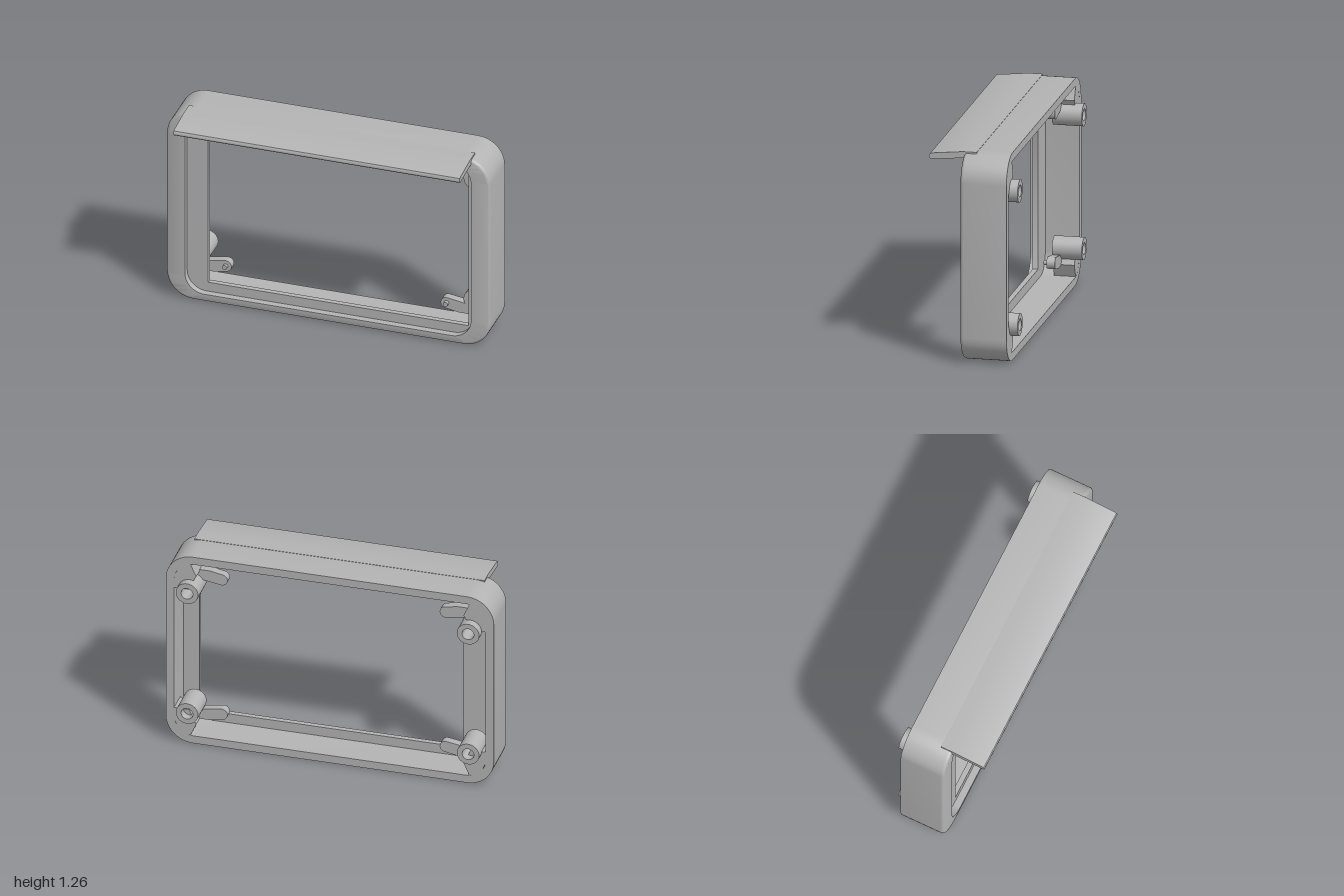
import * as THREE from 'three';
import { toCreasedNormals } from 'three/addons/utils/BufferGeometryUtils.js';

const HEIGHT = 1.262;

// Rounded rectangle as a counter-clockwise ring of points at depth z
function ring(x0, x1, y0, y1, r, z, steps = 12) {
  const pts = [];
  const corners = [[x1 - r, y0 + r], [x1 - r, y1 - r], [x0 + r, y1 - r], [x0 + r, y0 + r]];
  corners.forEach(([cx, cy], k) => {
    for (let i = 0; i <= steps; i++) {
      const a = (k - 1 + i / steps) * Math.PI / 2;
      pts.push([cx + r * Math.cos(a), cy + r * Math.sin(a), z]);
    }
  });
  return pts;
}

// Skin a closed sequence of rings
function loft(rings) {
  const n = rings[0].length, index = [];
  for (let i = 0; i < rings.length; i++) {
    const p = i * n, q = ((i + 1) % rings.length) * n;
    for (let j = 0; j < n; j++) {
      const k = (j + 1) % n;
      index.push(p + j, p + k, q + k, p + j, q + k, q + j);
    }
  }
  const g = new THREE.BufferGeometry();
  g.setAttribute('position', new THREE.Float32BufferAttribute(rings.flat(2), 3));
  g.setIndex(index);
  return toCreasedNormals(g.toNonIndexed(), 0.6);
}

function extrude(points, z0, z1) {
  const shape = new THREE.Shape(points.map(([x, y]) => new THREE.Vector2(x, y)));
  const g = new THREE.ExtrudeGeometry(shape, { depth: z1 - z0, bevelEnabled: false });
  g.translate(0, 0, z0);
  return toCreasedNormals(g, 0.6);
}

export function createModel() {
  const model = new THREE.Group();
  const grey = new THREE.MeshStandardMaterial({ color: 0xb4b4b4 });
  grey.name = 'greyPlastic';
  const add = (name, geometry, parent = model) => {
    const mesh = new THREE.Mesh(geometry, grey);
    mesh.name = name;
    parent.add(mesh);
    return mesh;
  };

  // Housing: outer wall, rounded front edge, recess, inner ledge and rear cavity
  const outer = (d, z) => ring(-1 + d, 1 - d, d, HEIGHT - d, 0.165 - d, z);
  const opening = z => ring(-0.885, 0.885, 0.05, 1.215, 0.12, z);
  const window_ = z => ring(-0.755, 0.855, 0.11, 1.165, 0.001, z);
  const cavity = z => ring(-0.95, 0.95, 0.05, 1.212, 0.12, z);
  const edge = [0, 1, 2, 3, 4].map(i => {
    const a = i / 4 * Math.PI / 2;
    return outer(0.02 * (1 - Math.cos(a)), 0.04 + 0.02 * Math.sin(a));
  });
  add('housing', loft([
    outer(0, -0.22), ...edge,
    opening(0.06), opening(0.017),
    window_(0.017), window_(-0.015),
    cavity(-0.015), cavity(-0.22),
  ]));

  // Sloping visor over the front, drawn from the side
  const profile = [
    [-0.015, 1.264], [0.07, 1.264], [0.255, 1.245], [0.265, 1.241], [0.27, 1.232],
    [0.27, 1.218], [0.265, 1.212], [0.257, 1.21], [0.06, 1.225], [-0.015, 1.225],
  ];
  const visor = extrude(profile.map(([z, y]) => [-z, y]), -0.885, 0.885);
  visor.rotateY(Math.PI / 2);
  add('visor', visor);

  // Four corner mounts: block, screw post, clip arm and pin
  const bossProfile = [[0, -0.12], [0.036, -0.12], [0.036, -0.27], [0.068, -0.27], [0.068, -0.09], [0, -0.09]];
  for (const sx of [-1, 1]) {
    for (const top of [false, true]) {
      const map = ([x, y]) => [sx * x, top ? HEIGHT - y : y];
      const mount = new THREE.Group();
      mount.name = (top ? 'upper' : 'lower') + (sx > 0 ? 'Left' : 'Right') + 'Mount';
      model.add(mount);

      // Block filling the corner of the cavity
      const block = [
        [0.853, 0.045], [0.815, 0.13], [0.835, 0.165], [0.857, 0.224], [0.955, 0.224],
        [0.955, 0.16], [0.92, 0.08], [0.87, 0.045],
      ];
      add('cornerBlock', extrude(block.map(map), -0.2195, -0.09), mount);

      // Hollow screw post
      const boss = new THREE.LatheGeometry(bossProfile.map(([r, z]) => new THREE.Vector2(r, -z)).reverse(), 32);
      boss.rotateX(-Math.PI / 2);
      const [bx, by] = map([0.857, 0.224]);
      boss.translate(bx, by, 0);
      add('screwPost', toCreasedNormals(boss, 0.6), mount);

      // Clip arm with rounded tip
      const arm = [[0.88, 0.125], [0.755, 0.125]];
      for (let i = 0; i <= 12; i++) {
        const a = -Math.PI / 2 - i / 12 * Math.PI;
        arm.push([0.683 + 0.036 * Math.cos(a), 0.175 + 0.036 * Math.sin(a)]);
      }
      arm.push([0.755, 0.2], [0.88, 0.176]);
      add('clipArm', extrude(arm.map(map), -0.14, -0.0895), mount);

      // Locating pin
      const pin = new THREE.CylinderGeometry(0.015, 0.015, 0.03, 20);
      pin.rotateX(Math.PI / 2);
      const [px, py] = map([0.683, 0.175]);
      pin.translate(px, py, -0.083);
      add('pin', pin, mount);
    }
  }
  return model;
}
